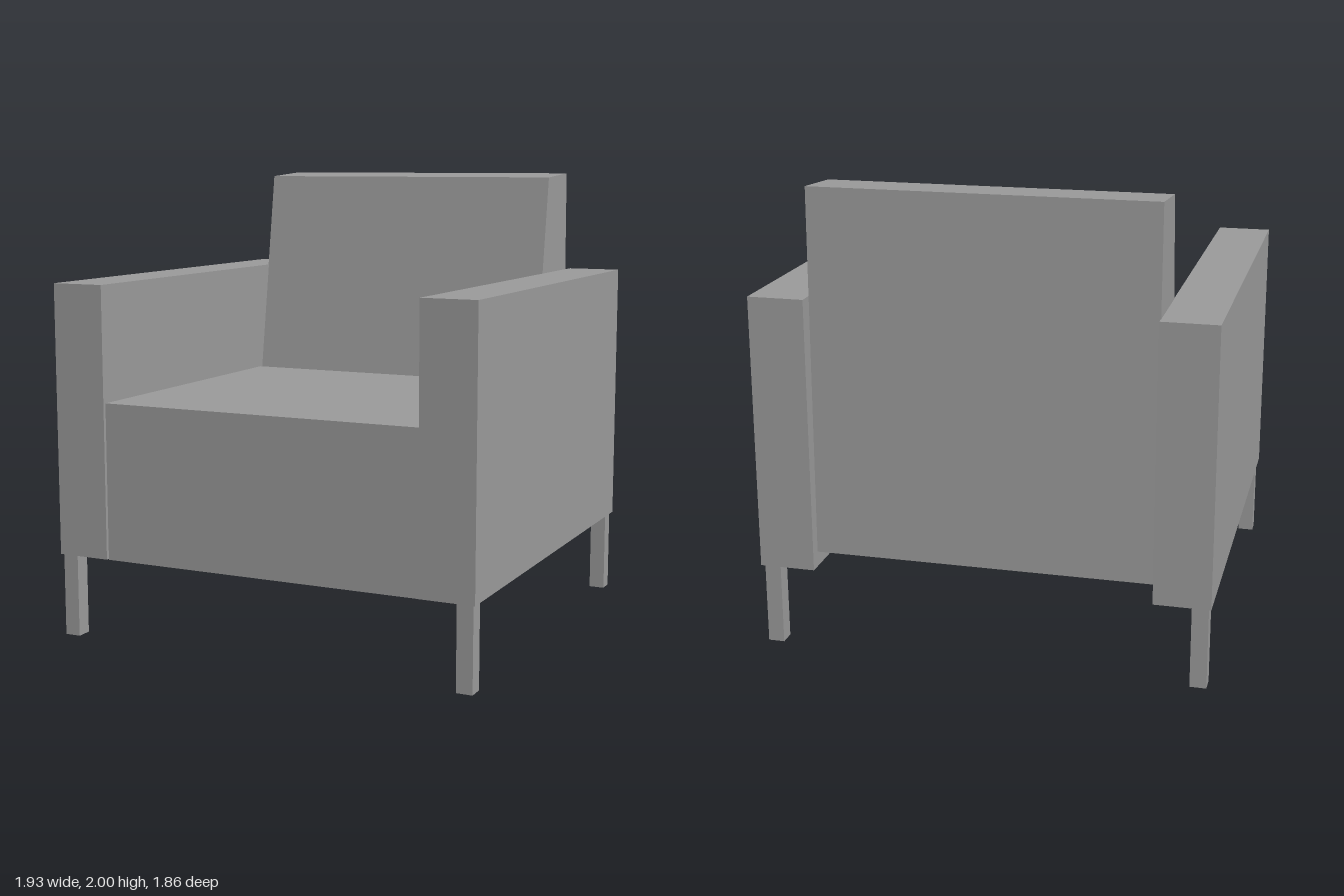
import * as THREE from 'three';

const material = new THREE.MeshStandardMaterial({ color: 0x9a9a9a, flatShading: true });

// Box given by its [min, max] extent along each axis
function block(name, [x0, x1], [y0, y1], [z0, z1]) {
  const mesh = new THREE.Mesh(new THREE.BoxGeometry(x1 - x0, y1 - y0, z1 - z0), material);
  mesh.position.set((x0 + x1) / 2, (y0 + y1) / 2, (z0 + z1) / 2);
  mesh.name = name;
  return mesh;
}

// Side profile of [z, y] points extruded across x
function sideExtrusion(name, profile, x0, x1) {
  const shape = new THREE.Shape(profile.map(([z, y]) => new THREE.Vector2(-z, y)));
  const geometry = new THREE.ExtrudeGeometry(shape, { depth: x1 - x0, bevelEnabled: false });
  geometry.rotateY(Math.PI / 2);
  geometry.translate(x0, 0, 0);
  const mesh = new THREE.Mesh(geometry, material);
  mesh.name = name;
  return mesh;
}

export function createModel() {
  const chair = new THREE.Group();
  chair.name = 'armchair';
  const base = 0.361;

  // Arms, full depth
  chair.add(block('rightArm', [-0.968, -0.729], [base, 1.544], [-0.93, 0.928]));
  chair.add(block('leftArm', [0.725, 0.965], [base, 1.544], [-0.93, 0.928]));

  // Seat block, ending just in front of the backrest
  chair.add(block('seat', [-0.72, 0.725], [base, 1.042], [-0.44, 0.926]));

  // Tapered backrest, thicker at the bottom
  const backProfile = [[-0.383, 0.44], [-0.91, 0.44], [-0.886, 2], [-0.622, 1.983]];
  chair.add(sideExtrusion('backrest', backProfile, -0.731, 0.713));

  // Square legs
  for (const [side, x] of [['Right', -0.921], ['Left', 0.921]]) {
    for (const [end, z] of [['front', 0.886], ['back', -0.872]]) {
      chair.add(block(`${end}${side}Leg`, [x - 0.035, x + 0.035], [0, base], [z - 0.035, z + 0.035]));
    }
  }
  return chair;
}
